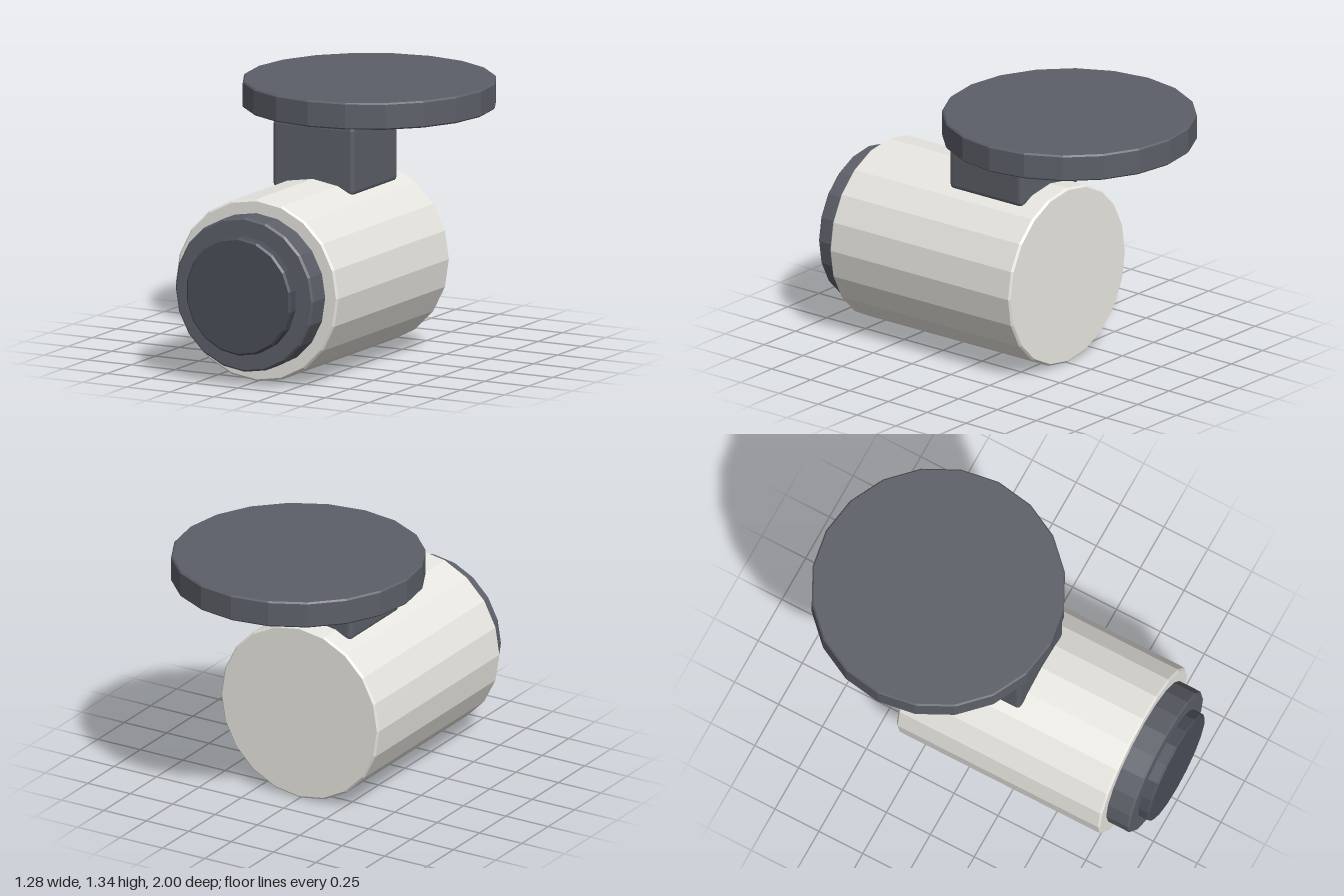
import * as THREE from 'three';
import { RoundedBoxGeometry } from 'three/addons/geometries/RoundedBoxGeometry.js';

const material = (color) => new THREE.MeshStandardMaterial({ color, flatShading: true });

// Faceted disc along y, from y0 to y1, with a small chamfer on both rims
function chamferedDisc(radius, y0, y1, sides, chamfer) {
  const profile = [
    [0, y0], [radius - chamfer, y0], [radius, y0 + chamfer],
    [radius, y1 - chamfer], [radius - chamfer, y1], [0, y1],
  ].map(([x, y]) => new THREE.Vector2(x, y));
  return new THREE.LatheGeometry(profile, sides);
}

export function createModel() {
  const model = new THREE.Group();
  const shell = material(0xe8e6e0);
  const dark = material(0x5c5f68);
  const glass = material(0x4a4e58);

  const add = (name, geometry, mat, x, y, z) => {
    const mesh = new THREE.Mesh(geometry, mat);
    mesh.name = name;
    mesh.position.set(x, y, z);
    model.add(mesh);
    return mesh;
  };

  // Barrel, front ring and lens share one axis along z
  const axisY = 0.47;
  const barrelParts = [
    ['cameraBody', 0.466, -0.35, 0.81, 20, 0.01, shell],
    ['frontRing', 0.395, 0.77, 0.94, 20, 0.01, dark],
    ['lens', 0.302, 0.9, 1.0, 18, 0.01, glass],
  ];
  for (const [name, radius, back, front, sides, chamfer, mat] of barrelParts) {
    add(name, chamferedDisc(radius, back, front, sides, chamfer), mat, 0, axisY, 0)
      .rotation.x = Math.PI / 2;
  }

  // Neck joining the barrel to the mounting plate
  add('mountNeck', new RoundedBoxGeometry(0.464, 0.35, 0.464, 2, 0.022), dark, 0, 1.045, -0.004);

  // Round plate, set back over the rear of the barrel
  add('mountPlate', chamferedDisc(0.64, 1.21, 1.347, 20, 0.008), dark, 0, 0, -0.36);

  return model;
}
